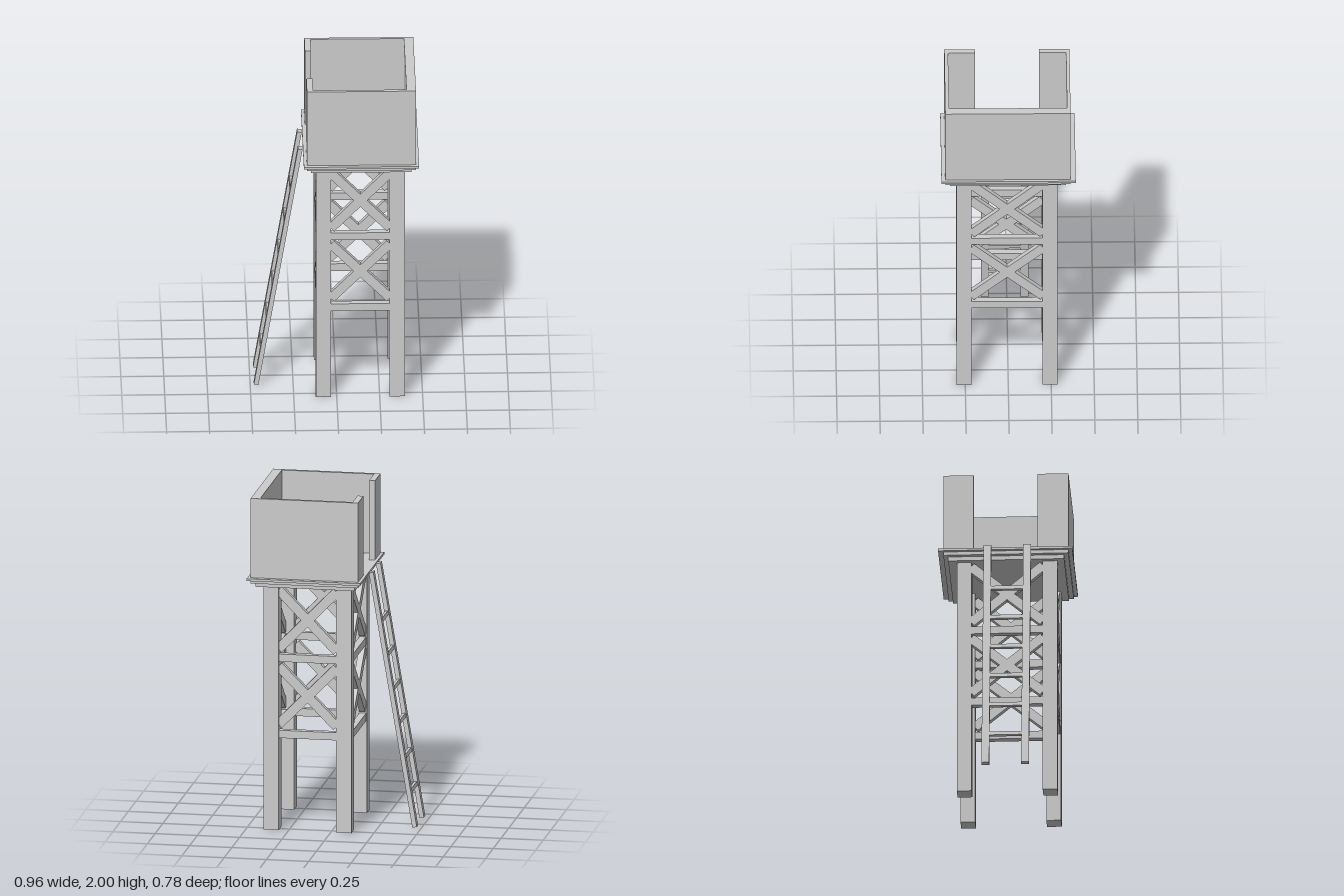
import * as THREE from 'three';

const material = new THREE.MeshStandardMaterial({ color: 0xcccccc, flatShading: true });

export function createModel() {
  const model = new THREE.Group();
  model.name = 'watchtower';

  const add = (name, geometry, parent = model) => {
    const mesh = new THREE.Mesh(geometry, material);
    mesh.name = name;
    parent.add(mesh);
    return mesh;
  };
  // Box given by its limits on each axis
  const box = (name, x0, x1, y0, y1, z0, z1, parent) => {
    const mesh = add(name, new THREE.BoxGeometry(x1 - x0, y1 - y0, z1 - z0), parent);
    mesh.position.set((x0 + x1) / 2, (y0 + y1) / 2, (z0 + z1) / 2);
    return mesh;
  };
  // Bar lying in an XY plane, running between two points
  const bar = (name, xa, ya, xb, yb, width, depth, z, parent) => {
    const length = Math.hypot(xb - xa, yb - ya);
    const mesh = add(name, new THREE.BoxGeometry(length, width, depth), parent);
    mesh.position.set((xa + xb) / 2, (ya + yb) / 2, z);
    mesh.rotation.z = Math.atan2(yb - ya, xb - xa);
    return mesh;
  };

  // Four square legs
  const cx = 0.138, cz = 0.006;
  for (const x of [-0.077, 0.353]) {
    for (const z of [-0.243, 0.257]) {
      box('leg', x - 0.045, x + 0.045, 0, 1.47, z - 0.043, z + 0.043);
    }
  }

  // Bracing panel on each side: two rails and two crosses, near the outer leg faces
  const bracePanel = (name, halfSpan, offset, angle) => {
    const panel = new THREE.Group();
    panel.name = name;
    panel.position.set(cx, 0, cz);
    panel.rotation.y = angle;
    model.add(panel);
    for (const y of [0.575, 1.032]) {
      box('braceRail', -halfSpan - 0.01, halfSpan + 0.01, y - 0.023, y + 0.023,
        offset - 0.02, offset + 0.02, panel);
    }
    for (const [y, rise] of [[0.807, 0.175], [1.262, 0.178]]) {
      for (const s of [-1, 1]) {
        bar('diagonalBrace', -halfSpan, y - s * rise, halfSpan, y + s * rise,
          0.056, 0.036, offset, panel);
      }
    }
  };
  bracePanel('frontBracing', 0.172, 0.27, 0);
  bracePanel('backBracing', 0.172, 0.27, Math.PI);
  bracePanel('leftBracing', 0.21, 0.236, Math.PI / 2);
  bracePanel('rightBracing', 0.21, 0.236, -Math.PI / 2);

  // Stepped platform
  box('platformBase', -0.15, 0.435, 1.465, 1.49, -0.335, 0.34);
  box('platformMiddle', -0.175, 0.46, 1.49, 1.511, -0.362, 0.367);
  box('platformDeck', -0.193, 0.478, 1.511, 1.525, -0.392, 0.39);

  // Parapet wall, open toward the ladder
  const plan = new THREE.Shape([
    [-0.175, 0.187], [-0.14, 0.187], [-0.14, 0.345], [0.405, 0.345],
    [0.405, -0.342], [-0.14, -0.342], [-0.14, -0.185], [-0.175, -0.185],
    [-0.175, -0.362], [0.46, -0.362], [0.46, 0.367], [-0.175, 0.367],
  ].map(([x, z]) => new THREE.Vector2(x, z)));
  const wall = new THREE.ExtrudeGeometry(plan, { depth: 0.48, bevelEnabled: false });
  wall.rotateX(Math.PI / 2);
  add('parapetWall', wall).position.y = 2;

  // Leaning ladder
  const ladder = new THREE.Group();
  ladder.name = 'ladder';
  model.add(ladder);
  const foot = [-0.466, 0.012], head = [-0.209, 1.527];
  for (const z of [-0.103, 0.128]) {
    bar('ladderRail', ...foot, ...head, 0.027, 0.045, z, ladder);
  }
  const tilt = Math.atan2(head[1] - foot[1], head[0] - foot[0]) - Math.PI / 2;
  for (let i = 0; i < 6; i++) {
    const y = 0.217 + i * 0.203;
    const t = (y - foot[1]) / (head[1] - foot[1]);
    const rung = add('ladderRung', new THREE.BoxGeometry(0.018, 0.024, 0.2), ladder);
    rung.position.set(foot[0] + (head[0] - foot[0]) * t, y, 0.0125);
    rung.rotation.z = tilt;
  }

  return model;
}
